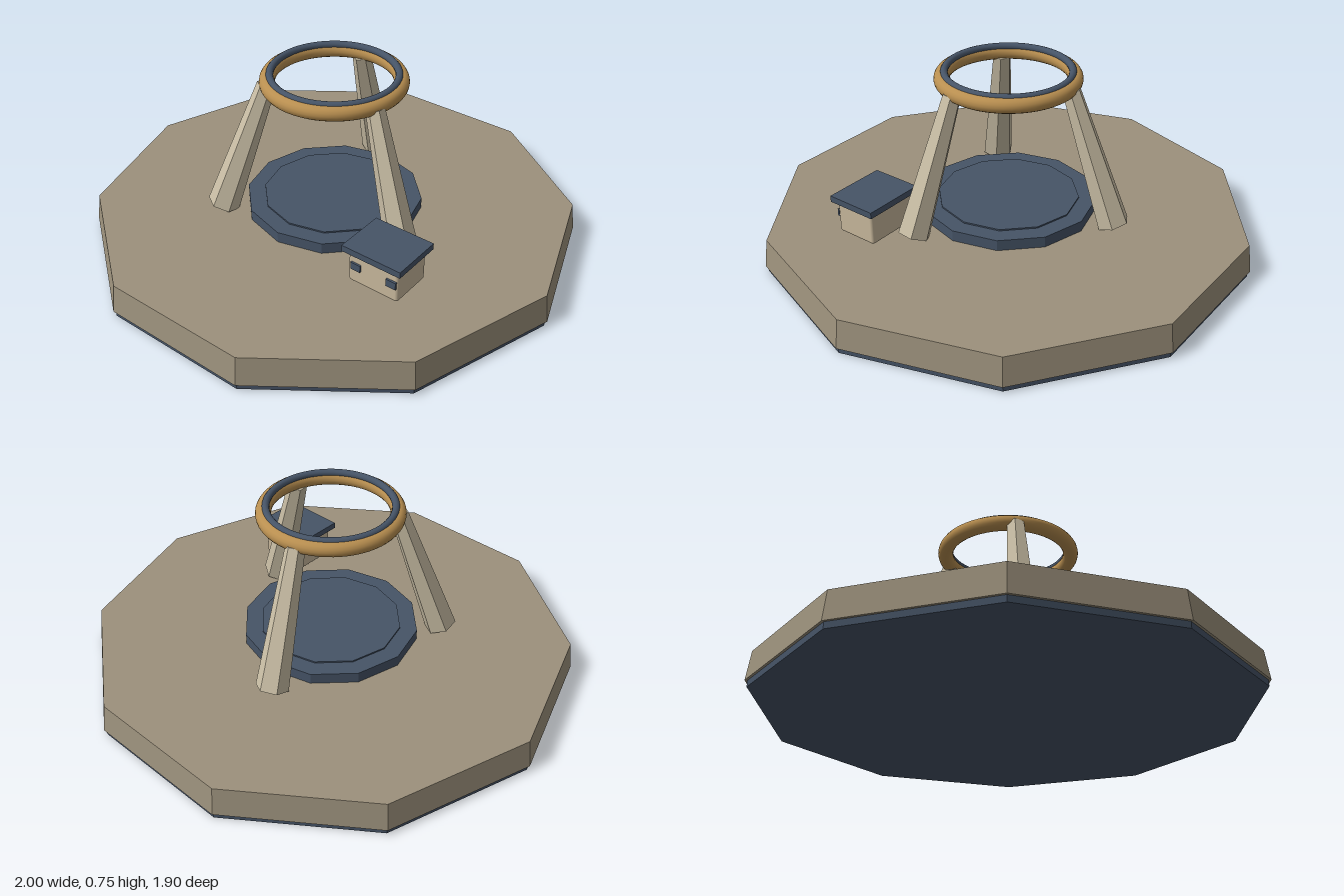
import * as THREE from 'three';
import { RoundedBoxGeometry } from 'three/addons/geometries/RoundedBoxGeometry.js';

const material = (name, color, flatShading = false) => {
  const m = new THREE.MeshStandardMaterial({ color, flatShading });
  m.name = name;
  return m;
};

export function createModel() {
  const group = new THREE.Group();
  const stone = material('stone', 0x9c917c, true);
  const paleStone = material('paleStone', 0xc9bea5, true);
  const plaster = material('plaster', 0xc8b89c);
  const slate = material('slate', 0x465467, true);
  const smoothSlate = material('smoothSlate', 0x465467);
  const gold = material('gold', 0xb98f50);

  const add = (name, geometry, mat, x = 0, y = 0, z = 0) => {
    const mesh = new THREE.Mesh(geometry, mat);
    mesh.name = name;
    mesh.position.set(x, y, z);
    group.add(mesh);
    return mesh;
  };
  // Upright prism between two heights
  const prism = (name, rTop, rBottom, y0, y1, sides, mat) =>
    add(name, new THREE.CylinderGeometry(rTop, rBottom, y1 - y0, sides), mat, 0, (y0 + y1) / 2, 0);

  // Ten-sided platform on a thin slab, corners on the x axis
  prism('foundationSlab', 0.99, 0.99, 0, 0.03, 10, slate).rotation.y = Math.PI / 2;
  prism('platform', 0.985, 1, 0.025, 0.142, 10, stone).rotation.y = Math.PI / 2;

  // Landing pad
  prism('pad', 0.36, 0.36, 0.14, 0.187, 12, slate);
  prism('padInset', 0.29, 0.29, 0.18, 0.193, 12, slate);

  // Three tapered legs leaning inward to the ring
  const up = new THREE.Vector3(0, 1, 0);
  for (const degrees of [17, 137, 257]) {
    const a = THREE.MathUtils.degToRad(degrees);
    const at = (r, y) => new THREE.Vector3(r * Math.cos(a), y, r * Math.sin(a));
    const foot = at(0.455, 0.16);
    const top = at(0.262, 0.7);
    const direction = top.clone().sub(foot);
    const leg = add('leg', new THREE.CylinderGeometry(0.038, 0.066, direction.length(), 6), paleStone);
    leg.position.copy(foot).lerp(top, 0.5);
    leg.quaternion.setFromUnitVectors(up, direction.normalize());
  }

  // Upper ring with a thinner trim ring on it
  add('ring', new THREE.TorusGeometry(0.26, 0.031, 16, 64), gold, 0, 0.711, 0).rotation.x = Math.PI / 2;
  add('ringTrim', new THREE.TorusGeometry(0.25, 0.015, 12, 64), smoothSlate, 0, 0.737, 0).rotation.x = Math.PI / 2;

  // Small hut with a flat roof and two front windows
  add('hutBody', new RoundedBoxGeometry(0.22, 0.14, 0.18, 2, 0.012), plaster, 0.476, 0.226, 0.296);
  add('hutRoof', new THREE.BoxGeometry(0.258, 0.026, 0.214), slate, 0.476, 0.303, 0.296);
  for (const x of [0.403, 0.56])
    add('hutWindow', new THREE.BoxGeometry(0.043, 0.03, 0.009), slate, x, 0.235, 0.39);

  return group;
}
